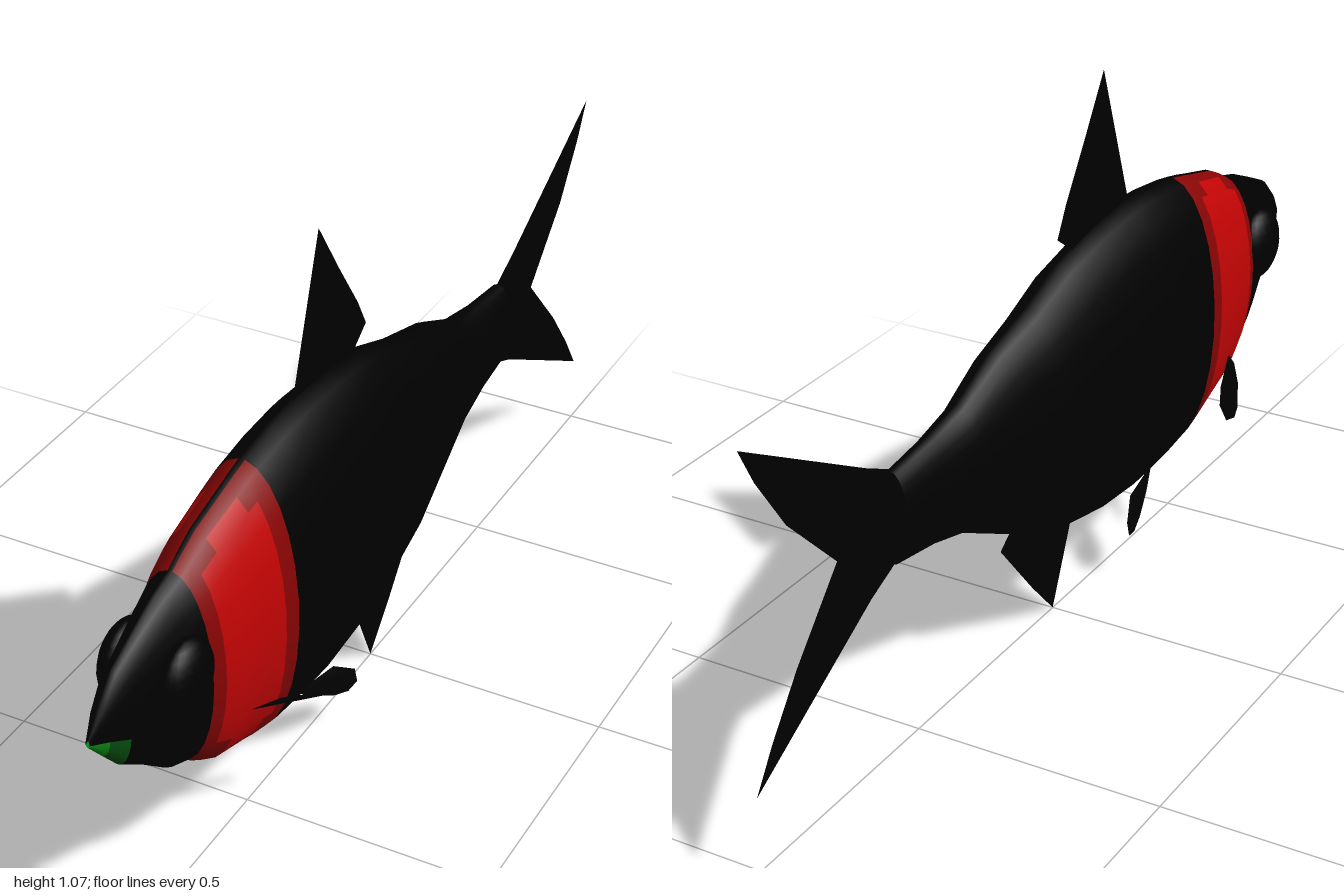
import * as THREE from 'three';

const flat = (name, color) => {
  const m = new THREE.MeshStandardMaterial({ color, side: THREE.DoubleSide });
  m.name = name;
  return m;
};

// Body cross-sections from nose to tail root: [z, top, bottom, half width]
const STATIONS = [
  [0.998, 0.51, 0.495, 0.004], [0.96, 0.56, 0.45, 0.02], [0.917, 0.60, 0.40, 0.034],
  [0.85, 0.63, 0.35, 0.047], [0.78, 0.66, 0.29, 0.063], [0.725, 0.675, 0.268, 0.077],
  [0.695, 0.692, 0.243, 0.085], [0.65, 0.713, 0.215, 0.093], [0.55, 0.738, 0.185, 0.103],
  [0.52, 0.746, 0.174, 0.105], [0.48, 0.755, 0.163, 0.108],
  [0.38, 0.768, 0.15, 0.111], [0.28, 0.772, 0.144, 0.112], [0.15, 0.76, 0.153, 0.108],
  [0.02, 0.735, 0.178, 0.099], [-0.1, 0.69, 0.215, 0.088], [-0.23, 0.655, 0.28, 0.07],
  [-0.35, 0.60, 0.34, 0.052], [-0.45, 0.58, 0.365, 0.042], [-0.57, 0.567, 0.382, 0.034],
];

// Ring angles, with a narrow segment along the back and belly ridges
const HALF = 13, EPS = 0.055;
const ANGLES = [];
for (let side = 0; side < 2; side++)
  for (let i = 0; i <= HALF; i++)
    ANGLES.push(side * Math.PI + EPS + (Math.PI - 2 * EPS) * i / HALF);

// Material slot of a body face, by its z and its step down from the back
function bodySlot(z, step) {
  if (z > 0.917 && step > 7) return z > 0.96 ? 3 : 4; // lower jaw and its rim
  if (z < 0.48 || z > 0.725) return 0;
  // Band behind the head: a bright rounded patch with a darker border
  const patch = z > 0.52 && z < 0.695 && step >= 1 && step <= 10;
  const corner = (step === 1 || step === 10) && (z > 0.65 || z < 0.55);
  return patch && !corner ? 1 : 2;
}

function bodyGeometry() {
  const n = ANGLES.length, pos = [], faces = [[], [], [], [], []];
  for (const [z, top, bottom, w] of STATIONS)
    for (const a of ANGLES)
      pos.push(Math.sin(a) * w, (top + bottom) / 2 + Math.cos(a) * (top - bottom) / 2, z);
  for (let r = 0; r < STATIONS.length - 1; r++) {
    const zMid = (STATIONS[r][0] + STATIONS[r + 1][0]) / 2;
    for (let j = 0; j < n; j++) {
      const step = j <= HALF ? j : n - 2 - j;
      const backRidge = j === n - 1;
      const ridge = backRidge || j === HALF;
      const slot = backRidge || (ridge && zMid < 0.9) ? 0 : bodySlot(zMid, step);
      const a = r * n + j, b = r * n + (j + 1) % n;
      faces[slot].push(a, b, a + n, b, b + n, a + n);
    }
  }
  const g = new THREE.BufferGeometry();
  g.setAttribute('position', new THREE.Float32BufferAttribute(pos, 3));
  g.setIndex(faces.flat());
  let start = 0;
  faces.forEach((f, i) => { g.addGroup(start, f.length, i); start += f.length; });
  g.computeVertexNormals();
  return g;
}

// Upright fin on the centre plane from [z, y] points
function finGeometry(points) {
  const shape = new THREE.Shape(points.map(([z, y]) => new THREE.Vector2(-z, y)));
  return new THREE.ShapeGeometry(shape).rotateY(Math.PI / 2);
}

// Paired fin: a fan of triangles over [x, y, z] points, mirrored by side
function leafGeometry(points, side) {
  const g = new THREE.BufferGeometry(), index = [];
  g.setAttribute('position',
    new THREE.Float32BufferAttribute(points.flatMap(([x, y, z]) => [x * side, y, z]), 3));
  for (let i = 1; i < points.length - 1; i++)
    index.push(...(side > 0 ? [0, i, i + 1] : [0, i + 1, i]));
  g.setIndex(index);
  g.computeVertexNormals();
  return g;
}

export function createModel() {
  const group = new THREE.Group();
  const black = flat('black', 0x000000);
  const red = flat('red', 0xc00404);
  const darkRed = flat('darkRed', 0x860404);
  const green = flat('green', 0x0c8c14);
  const darkGreen = flat('darkGreen', 0x085010);
  const add = (name, geometry, material = black) => {
    const mesh = new THREE.Mesh(geometry, material);
    mesh.name = name;
    group.add(mesh);
    return mesh;
  };

  add('body', bodyGeometry(), [black, red, darkRed, green, darkGreen]);

  // Flat end of the tail root
  const cap = add('tailRoot', new THREE.CircleGeometry(1, 24));
  cap.scale.set(0.034, 0.0925, 1);
  cap.rotation.y = Math.PI;
  cap.position.set(0, 0.4745, -0.57);

  // Fins on the centre plane
  add('dorsalFin', finGeometry([
    [0.31, 0.74], [0.295, 0.78], [0.195, 1.068], [0.12, 0.95], [0.05, 0.845],
    [0.018, 0.785], [0.09, 0.735], [0.1, 0.7]]));
  add('analFin', finGeometry([
    [0.09, 0.19], [0.075, 0.17], [0.0, 0.0], [-0.08, 0.085], [-0.2, 0.225],
    [-0.155, 0.258], [-0.12, 0.28]]));
  add('tailFin', finGeometry([
    [-0.56, 0.567], [-0.64, 0.605], [-1.0, 0.8], [-0.96, 0.725], [-0.88, 0.61],
    [-0.74, 0.473], [-0.87, 0.33], [-0.95, 0.225], [-1.0, 0.148],
    [-0.64, 0.348], [-0.56, 0.382]]));

  for (const side of [1, -1]) {
    const label = side > 0 ? 'left' : 'right';

    const eye = add(label + 'Eye', new THREE.SphereGeometry(1, 20, 14));
    eye.scale.set(0.037, 0.077, 0.075);
    eye.position.set(0.058 * side, 0.512, 0.785);

    add(label + 'PectoralFin', leafGeometry([
      [0.08, 0.325, 0.61], [0.115, 0.333, 0.565], [0.15, 0.318, 0.512],
      [0.18, 0.295, 0.45], [0.182, 0.28, 0.432], [0.165, 0.27, 0.43],
      [0.13, 0.278, 0.47], [0.105, 0.292, 0.525]], side));

    add(label + 'PelvicFin', leafGeometry([
      [0.03, 0.165, 0.36], [0.045, 0.152, 0.24], [0.065, 0.118, 0.19],
      [0.07, 0.09, 0.19], [0.066, 0.085, 0.22], [0.058, 0.1, 0.26],
      [0.046, 0.13, 0.31]], side));
  }
  return group;
}
